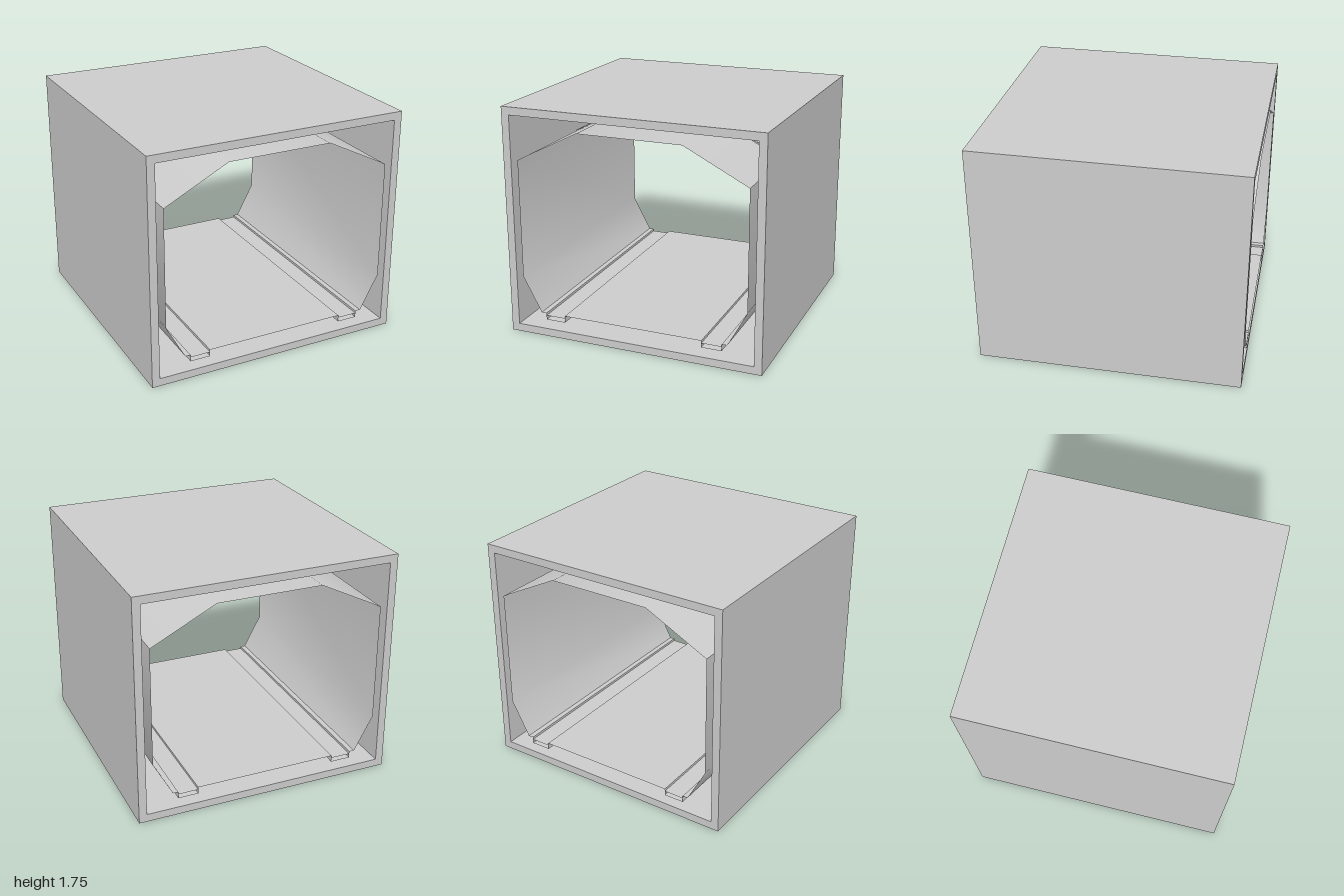
import * as THREE from 'three';
import { toCreasedNormals } from 'three/addons/utils/BufferGeometryUtils.js';

const grey = new THREE.MeshStandardMaterial({ color: 0xcccccc, side: THREE.DoubleSide });
grey.name = 'concrete grey';

function add(parent, name, geometry) {
  const mesh = new THREE.Mesh(geometry, grey);
  mesh.name = name;
  parent.add(mesh);
  return mesh;
}

// Rectangle outline as points
const rect = (x, y0, y1) => [[-x, y0], [x, y0], [x, y1], [-x, y1]].map(p => new THREE.Vector2(...p));

// Regular octagon with flat sides facing along the axes
function octagon(inradius) {
  const r = inradius / Math.cos(Math.PI / 8);
  return Array.from({ length: 8 }, (_, i) => {
    const a = (i + 0.5) * Math.PI / 4;
    return new THREE.Vector2(r * Math.cos(a), r * Math.sin(a));
  });
}

// Extrude points (with an optional hole) centred on z = 0
function slab(points, depth, hole) {
  const shape = new THREE.Shape(points);
  if (hole) shape.holes.push(new THREE.Path(hole));
  return new THREE.ExtrudeGeometry(shape, { depth, bevelEnabled: false }).translate(0, 0, -depth / 2);
}

// Thin closed sheet swept along z, facing inwards
function sweep(profile) {
  const pos = [];
  profile.forEach((a, i) => {
    const b = profile[(i + 1) % profile.length];
    const a1 = [...a, 1], b1 = [...b, 1], a0 = [...a, -1], b0 = [...b, -1];
    pos.push(...a1, ...b1, ...b0, ...a1, ...b0, ...a0);
  });
  const g = new THREE.BufferGeometry();
  g.setAttribute('position', new THREE.Float32BufferAttribute(pos, 3));
  return toCreasedNormals(g, Math.PI / 5);
}

export function createModel() {
  const model = new THREE.Group();
  model.name = 'tunnelSection';

  // Square outer casing, open at both ends
  add(model, 'outerCasing', slab(rect(1, 0, 1.75), 2, rect(0.94, 0.06, 1.69)));

  // Inner lining with two rail channels in its floor
  const half = [
    [0.545, 0.187], [0.545, 0.135], [0.7, 0.135], [0.7, 0.187],
    [0.74, 0.187], [0.885, 0.455], [0.885, 1.36], [0.4, 1.605],
  ];
  const mirrored = half.map(([x, y]) => [-x, y]).reverse();
  add(model, 'tunnelLining', sweep([...half, ...mirrored]));

  for (const side of [-1, 1]) {
    // Rail strip slightly below the floor
    const rail = add(model, 'railStrip', new THREE.PlaneGeometry(0.155, 2).rotateX(-Math.PI / 2));
    rail.position.set(side * 0.6225, 0.168, 0);

    // Octagonal hatch on the sloping upper panel
    const hatch = new THREE.Group();
    hatch.name = 'octagonalHatch';
    add(hatch, 'hatchFrame', slab(octagon(0.262), 0.024, octagon(0.242)).rotateX(Math.PI / 2));
    add(hatch, 'hatchPanel', slab(octagon(0.242), 0.012).rotateX(Math.PI / 2));
    hatch.position.set(side * 0.638, 1.481, 0);
    hatch.rotation.z = -side * Math.atan2(0.245, 0.485);
    model.add(hatch);
  }
  return model;
}
